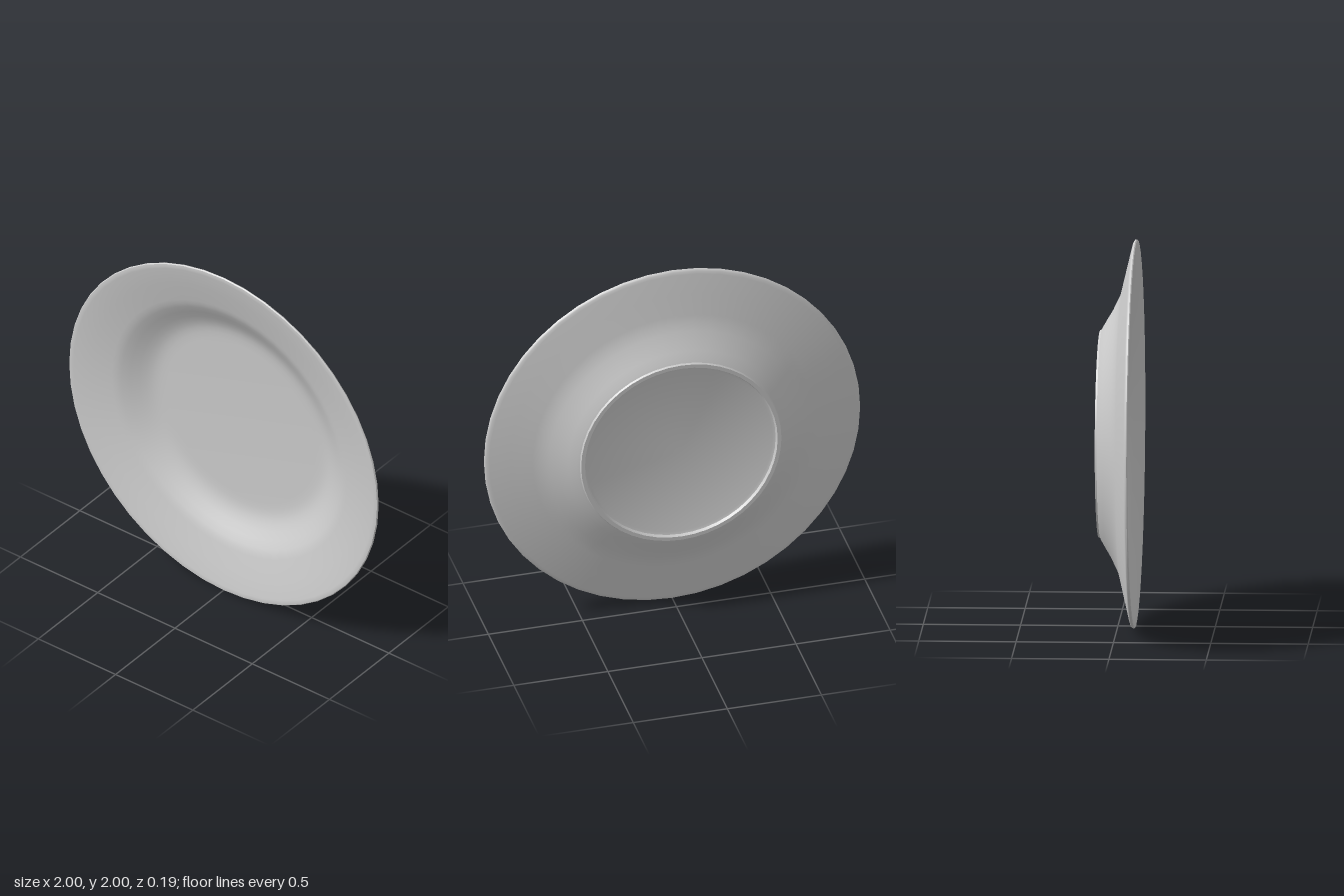
import * as THREE from 'three';
import { toCreasedNormals } from 'three/addons/utils/BufferGeometryUtils.js';

const SEGMENTS = 48;

export function createModel() {
  const group = new THREE.Group();
  group.name = 'dinnerPlate';
  const glaze = new THREE.MeshStandardMaterial({ color: 0xcccccc });
  glaze.name = 'greyGlaze';

  // Spins a [radius, depth] profile around the z axis.
  const addRing = (name, profile) => {
    const points = profile.map(([r, z]) => new THREE.Vector2(r, z));
    const lathe = new THREE.LatheGeometry(points, SEGMENTS);
    lathe.rotateX(Math.PI / 2);
    const mesh = new THREE.Mesh(toCreasedNormals(lathe, Math.PI / 5), glaze);
    mesh.name = name;
    mesh.position.y = 1;
    group.add(mesh);
  };

  // One closed shell: recessed underside, foot ring, flared back, rolled lip, dished front.
  addRing('plateBody', [
    [0, -0.075], [0.49, -0.075], [0.505, -0.08], [0.512, -0.095],
    [0.532, -0.095], [0.537, -0.085], [0.55, -0.079],
    [0.59, -0.056], [0.635, -0.029], [0.68, -0.007], [0.72, 0.012], [0.76, 0.022],
    [0.87, 0.048], [0.975, 0.073], [0.99, 0.077], [0.998, 0.083], [1, 0.089],
    [0.996, 0.094], [0.985, 0.095], [0.97, 0.093],
    [0.87, 0.069], [0.76, 0.043], [0.735, 0.036], [0.71, 0.025], [0.67, 0.003],
    [0.63, -0.02], [0.6, -0.035], [0.575, -0.045], [0.55, -0.052],
    [0.52, -0.056], [0.48, -0.058], [0, -0.058],
  ]);

  return group;
}
